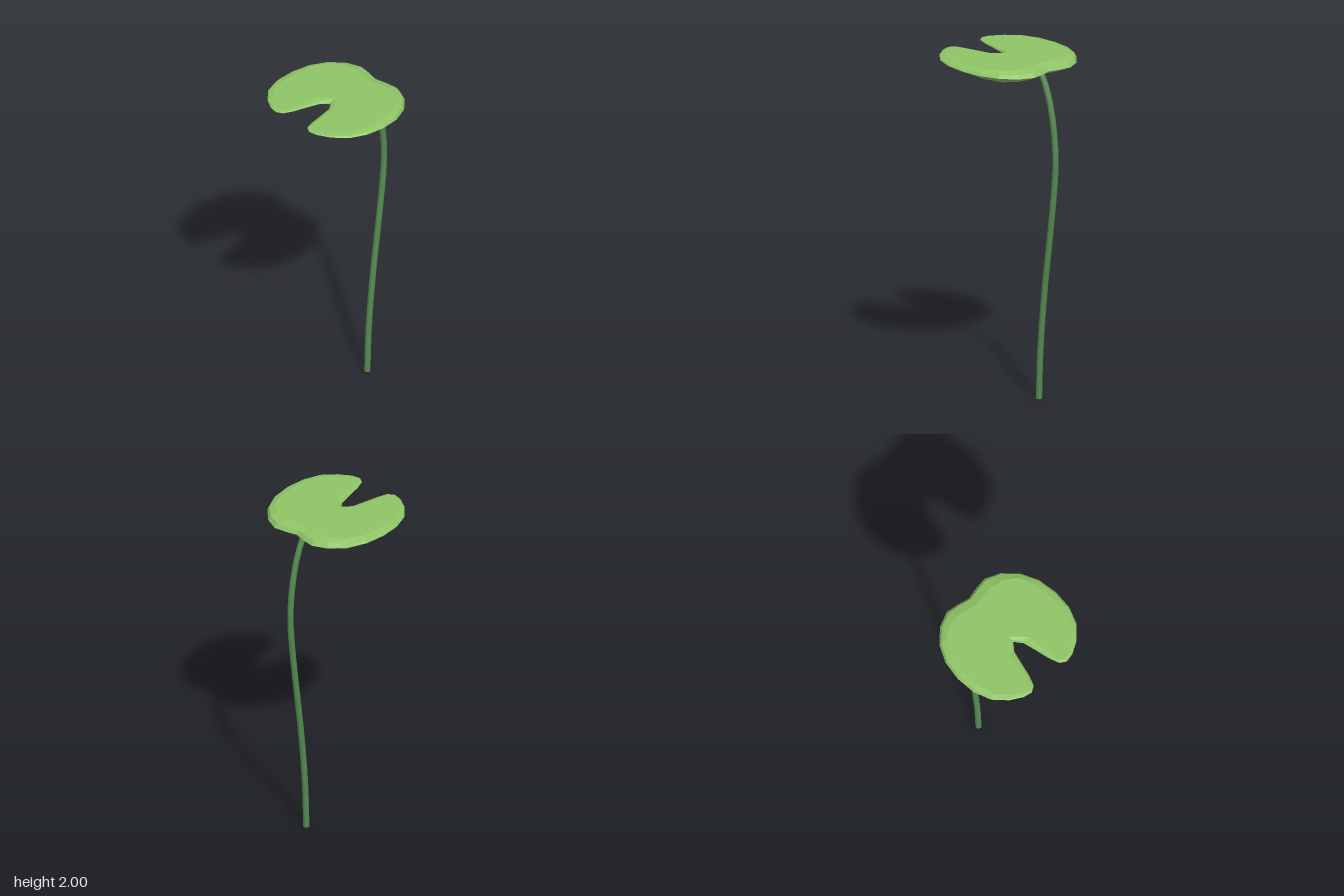
import * as THREE from 'three';

// Right half of the leaf, from the back dent round to the inner notch:
// widest edge (x, z), then the inset edge (x, z) of the upper and lower face
const HALF = [
  [0, -0.30, 0, -0.235], [0.07, -0.317, 0.065, -0.245], [0.147, -0.328, 0.13, -0.255],
  [0.235, -0.29, 0.205, -0.24], [0.316, -0.21, 0.28, -0.19], [0.366, -0.105, 0.322, -0.1],
  [0.384, 0.015, 0.337, 0.01], [0.375, 0.135, 0.333, 0.13], [0.335, 0.24, 0.3, 0.235],
  [0.263, 0.315, 0.24, 0.295], [0.19, 0.358, 0.182, 0.34], [0.137, 0.369, 0.137, 0.352],
  [0.10, 0.346, 0.108, 0.336], [0.077, 0.285, 0.1, 0.285], [0.055, 0.19, 0.089, 0.19],
  [0.036, 0.115, 0.077, 0.113], [0, 0.07, 0, 0.037],
];

function createLeaf(material) {
  // Mirror the half into a closed outline, counter-clockwise from above
  const outline = [
    ...HALF.map(([a, b, c, d]) => [-a, b, -c, d]),
    ...HALF.slice(1, -1).reverse(),
  ];
  const n = outline.length;
  const rimY = (z) => 1.975 + 0.05 * z;

  // Four stacked rings: underside, rim, bevel and upper face
  const rings = [
    outline.map(([, , x, z]) => [x, 1.952 + 0.1 * z, z]),
    outline.map(([x, z]) => [x, rimY(z), z]),
    outline.map(([x, z, tx, tz]) => [
      THREE.MathUtils.lerp(x, tx, 0.25),
      THREE.MathUtils.lerp(rimY(z), 2, 0.6),
      THREE.MathUtils.lerp(z, tz, 0.25),
    ]),
    outline.map(([, , x, z]) => [x, 2, z]),
  ];

  const index = [];
  for (let r = 0; r < 3; r++) {
    for (let i = 0; i < n; i++) {
      const j = (i + 1) % n;
      const a = r * n + i, b = r * n + j;
      index.push(a, b, b + n, a, b + n, a + n);
    }
  }
  // Close the upper face and the underside
  const contour = outline.map(([, , x, z]) => new THREE.Vector2(x, -z));
  for (const [a, b, c] of THREE.ShapeUtils.triangulateShape(contour, [])) {
    index.push(a + 3 * n, b + 3 * n, c + 3 * n, a, c, b);
  }

  const geometry = new THREE.BufferGeometry();
  geometry.setAttribute('position', new THREE.Float32BufferAttribute(rings.flat(2), 3));
  geometry.setIndex(index);
  const flat = geometry.toNonIndexed();
  flat.computeVertexNormals();
  const leaf = new THREE.Mesh(flat, material);
  leaf.name = 'leaf';
  return leaf;
}

function createStem(material) {
  const stem = new THREE.Group();
  stem.name = 'stem';
  const radius = 0.018, sides = 8;

  // Gently bowed stalk
  const path = new THREE.CatmullRomCurve3([
    [0, -0.22], [0.3, -0.232], [0.65, -0.265], [1, -0.31], [1.3, -0.345],
    [1.47, -0.352], [1.7, -0.325], [1.85, -0.282], [1.955, -0.23],
  ].map(([y, z]) => new THREE.Vector3(0, y, z)));
  const stalk = new THREE.Mesh(new THREE.TubeGeometry(path, 20, radius, sides), material);
  stalk.name = 'stalk';

  // Cut end at the base
  const base = new THREE.Mesh(new THREE.CircleGeometry(radius, sides), material);
  base.name = 'stalkBase';
  base.rotation.x = Math.PI / 2;
  base.position.set(0, 0.001, -0.22);

  stem.add(stalk, base);
  return stem;
}

export function createModel() {
  const leafGreen = new THREE.MeshStandardMaterial({ color: 0x8fc466 });
  leafGreen.name = 'leafGreen';
  const stemGreen = new THREE.MeshStandardMaterial({ color: 0x568c54 });
  stemGreen.name = 'stemGreen';

  const model = new THREE.Group();
  model.name = 'lilyPad';
  model.add(createLeaf(leafGreen), createStem(stemGreen));
  return model;
}
